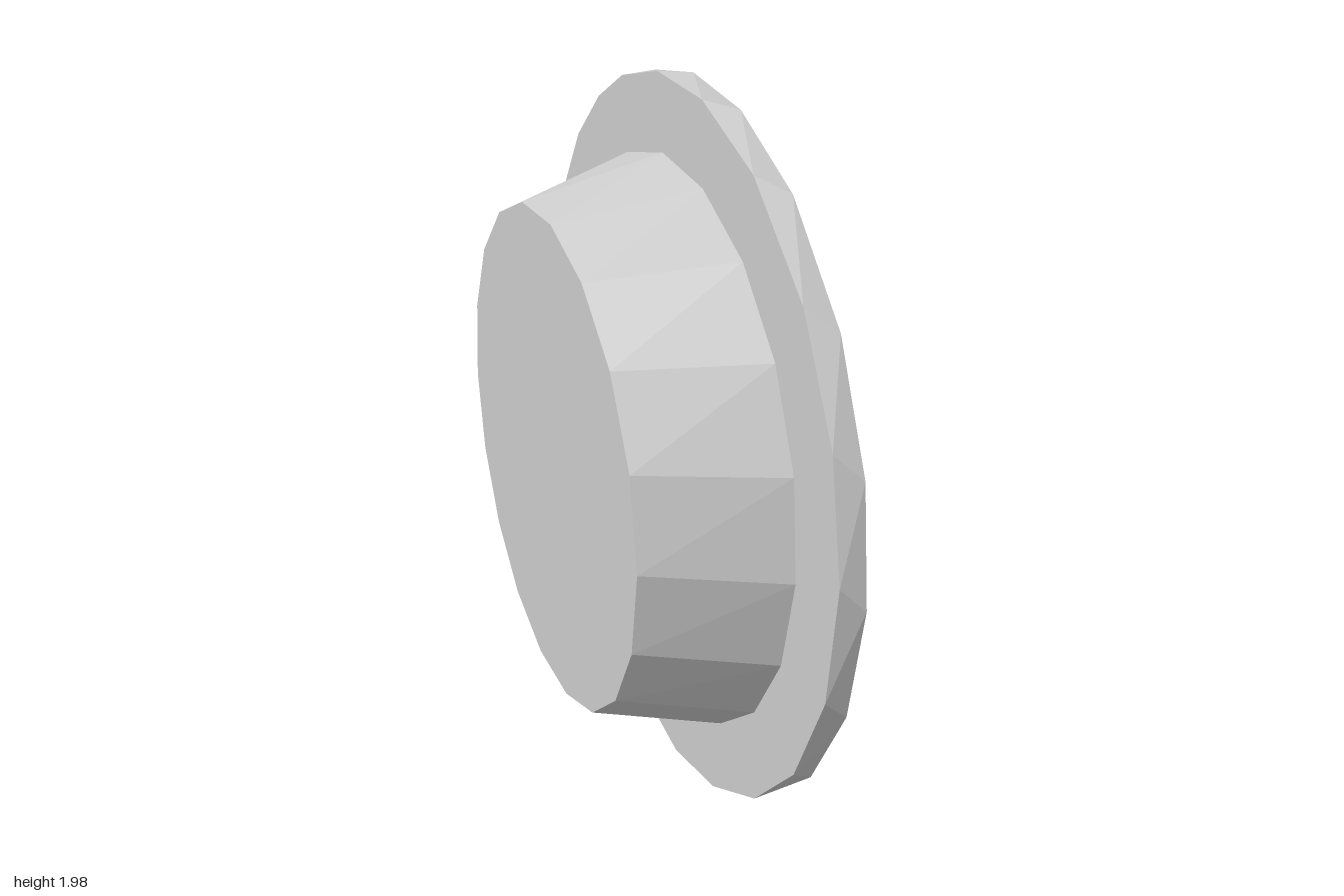
import * as THREE from 'three';

const CY = 0.995, CZ = 0.005; // axis of the dish, running along x
const material = new THREE.MeshStandardMaterial({ color: 0xcccccc, flatShading: true });

// A ring of corners at the given angles (degrees, from +z towards +y).
const ring = (x, r, angles) => angles.map((deg) => {
  const t = THREE.MathUtils.degToRad(deg);
  return { deg, p: [x, CY + r * Math.sin(t), CZ + r * Math.cos(t)] };
});
const regular = (n, start) => Array.from({ length: n }, (_, i) => start + (i * 360) / n);

// Joins two rings of differing counts, always stepping the one that lags in angle.
function strip(a, b, out) {
  const at = (r, i) => r[i % r.length].p;
  const next = (r, i, last) => (i >= last ? Infinity : r[(i + 1) % r.length].deg + (i + 1 >= r.length ? 360 : 0));
  const na = a.length > 1 ? a.length : 0, nb = b.length > 1 ? b.length : 0;
  let i = 0, j = 0;
  while (i < na || j < nb) {
    if (next(a, i, na) <= next(b, j, nb)) {
      out.push(...at(a, i), ...at(b, j), ...at(a, i + 1));
      i++;
    } else {
      out.push(...at(a, i), ...at(b, j), ...at(b, j + 1));
      j++;
    }
  }
}

function facetMesh(name, positions) {
  const geometry = new THREE.BufferGeometry();
  geometry.setAttribute('position', new THREE.Float32BufferAttribute(positions, 3));
  geometry.computeVertexNormals();
  const mesh = new THREE.Mesh(geometry, material);
  mesh.name = name;
  return mesh;
}

function facetedRings(name, rings) {
  const out = [];
  for (let k = 0; k + 1 < rings.length; k++) strip(rings[k], rings[k + 1], out);
  return facetMesh(name, out);
}

export function createModel() {
  const group = new THREE.Group();
  group.name = 'recessedDish';

  // Unevenly spaced, hand-cut corners of each edge
  const flangeAngles = [1, 18.4, 37, 57, 75, 91.5, 106.4, 118.5, 132.2, 147.8, 161.5, 180,
    198.4, 212.4, 226.8, 245.2, 272.8, 288.9, 306.3, 324, 342.5];
  const openingAngles = [6, 25.3, 39.9, 58, 79.9, 94, 106.7, 120.7, 133, 149, 162.7, 178.4,
    194.7, 213.5, 230.5, 248, 259.7, 273.6, 291.9, 309.5, 327.7, 345.8];
  const floorAngles = [-2.3, 21.6, 42.4, 60.5, 78.4, 96.5, 117.8, 142, 161.7, 186.5, 208, 227,
    244.7, 259, 279.8, 301.8, 318, 333.6];

  const bowlBack = ring(-0.225, 0.685, regular(18, 2));
  const bowlRim = ring(0.125, 0.79, regular(19, -1));
  const flangeBack = ring(0.125, 0.99, flangeAngles.map((a) => a + 4));
  const flangeFront = ring(0.195, 0.99, flangeAngles);
  const opening = ring(0.195, 0.757, openingAngles);
  const floorEdge = ring(-0.165, 0.66, floorAngles);

  // Tapered outside of the dish with its flat back
  group.add(facetedRings('bowlOutside', [ring(-0.225, 0, [0]), bowlBack, bowlRim]));
  // Wide flat rim
  group.add(facetedRings('flange', [bowlRim, flangeBack, flangeFront, opening]));
  // Tapered inside wall and floor
  group.add(facetedRings('bowlInside', [opening, floorEdge, ring(-0.165, 0, [0])]));

  // Thin bent tab on the edge of the flange: sections of [y, inner z, inner x, outer z, outer x]
  const sections = [[0.755, 0.797, -0.807, 0.203, -0.968, 0.202],
    [1.0, 1.0, -0.835, 0.205, -1.0, 0.22],
    [1.24, 1.22, -0.815, 0.194, -0.963, 0.203]];
  const thickness = 0.012;
  const loops = sections.map(([yo, yi, zi, xi, zo, xo]) => [
    [xi, yi, zi], [xo, yo, zo], [xo - thickness, yo, zo], [xi - thickness, yi, zi]]);
  const tab = [];
  const quad = (a, b, c, d) => tab.push(...a, ...b, ...c, ...a, ...c, ...d);
  for (let s = 0; s < 2; s++) {
    for (let k = 0; k < 4; k++) {
      const m = (k + 1) % 4;
      quad(loops[s][k], loops[s][m], loops[s + 1][m], loops[s + 1][k]);
    }
  }
  quad(...[...loops[0]].reverse());
  quad(...loops[2]);
  // Front: inner to outer is -z, then up +y, so the faces look towards +x
  group.add(facetMesh('rimTab', tab));

  return group;
}
